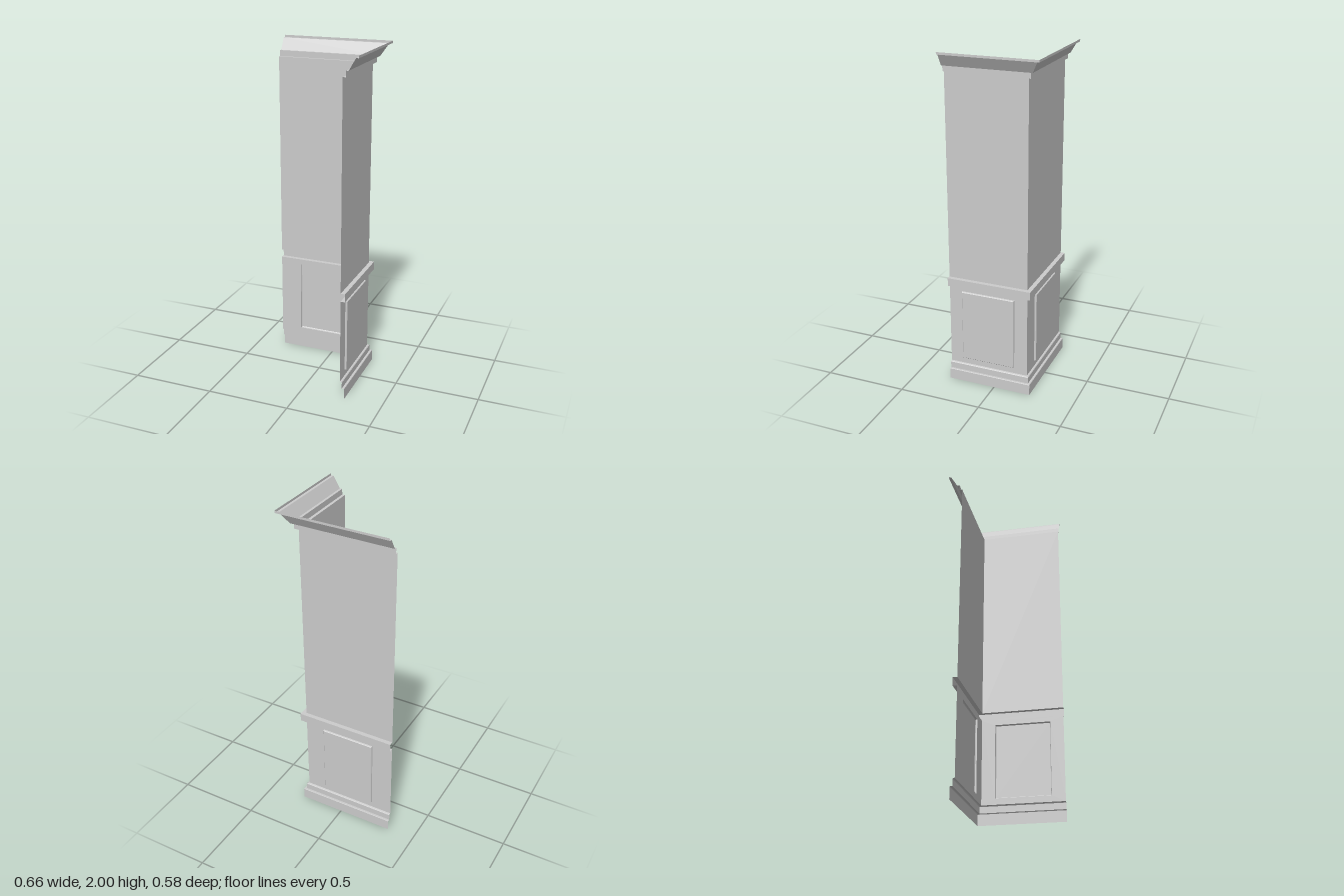
import * as THREE from 'three';

const material = new THREE.MeshStandardMaterial({ color: 0xcccccc, side: THREE.DoubleSide });

// Each wall run works in local axes: s along the wall from the corner, y up, d outward.
const CX = 0.245, CZ = -0.201;
const runs = [
  {
    name: 'back', length: 0.578, panel: [0.12, 0.45],
    place: (s, y, d) => [CX - s, y, CZ - d], outward: true,
  },
  {
    name: 'side', length: 0.489, panel: [0.08, 0.41],
    place: (s, y, d) => [CX + d, y, CZ + s], outward: false,
  },
];

// Flat-shaded mesh from quads given in local (s, y, d) corners
function quadMesh(name, run, quads) {
  const positions = [];
  for (const [a, b, c, d] of quads) {
    const order = run.outward ? [a, b, c, a, c, d] : [a, c, b, a, d, c];
    for (const p of order) positions.push(...run.place(...p));
  }
  const geometry = new THREE.BufferGeometry();
  geometry.setAttribute('position', new THREE.Float32BufferAttribute(positions, 3));
  geometry.computeVertexNormals();
  const mesh = new THREE.Mesh(geometry, material);
  mesh.name = name;
  return mesh;
}

// Profile of [d, y] points swept along a run, mitred at the corner
function moulding(name, run, profile) {
  const quads = [];
  for (let i = 0; i < profile.length - 1; i++) {
    const [d0, y0] = profile[i], [d1, y1] = profile[i + 1];
    quads.push([[-d0, y0, d0], [run.length, y0, d0], [run.length, y1, d1], [-d1, y1, d1]]);
  }
  return quadMesh(name, run, quads);
}

// Corners of a rectangle, counter-clockwise seen from outside
const rect = (s0, s1, y0, y1, d) => [[s0, y0, d], [s1, y0, d], [s1, y1, d], [s0, y1, d]];

// Quads joining consecutive rectangles
function bridge(rings) {
  const quads = [];
  for (let r = 0; r < rings.length - 1; r++) {
    for (let i = 0; i < 4; i++) {
      const j = (i + 1) % 4;
      quads.push([rings[r][i], rings[r][j], rings[r + 1][j], rings[r + 1][i]]);
    }
  }
  return quads;
}

const WALL_LOW = 0.111, RAIL_LOW = 0.622, RAIL_TOP = 0.671, CROWN_LOW = 1.886;
const PANEL_LOW = 0.148, PANEL_TOP = 0.59;

const profiles = {
  baseboard: [[0.026, 0], [0.026, 0.065], [0.024, 0.068], [0.012, 0.068],
    [0.012, 0.105], [0.009, 0.109], [0, WALL_LOW]],
  chairRail: [[0, RAIL_LOW], [0.026, RAIL_LOW], [0.026, RAIL_TOP], [0, RAIL_TOP]],
  upperWall: [[0, RAIL_TOP], [0, CROWN_LOW]],
  crown: [[0, CROWN_LOW], [0.017, CROWN_LOW], [0.017, 1.92], [0.032, 1.92],
    [0.072, 1.987], [0.087, 1.987], [0.087, 2]],
};

export function createModel() {
  const model = new THREE.Group();
  model.name = 'panelledWallCorner';
  for (const run of runs) {
    const group = new THREE.Group();
    group.name = run.name + 'Wall';
    for (const [name, profile] of Object.entries(profiles)) group.add(moulding(name, run, profile));

    // Lower wall, open behind the panel
    const [s0, s1] = run.panel;
    const outer = rect(0, run.length, WALL_LOW, RAIL_LOW, 0);
    const opening = rect(s0, s1, PANEL_LOW, PANEL_TOP, 0);
    group.add(quadMesh('lowerWall', run, bridge([outer, opening])));

    // Raised panel with a small bevel round its face
    const rings = [[0, 0], [0.002, 0.008], [0.005, 0.011]].map(([inset, d]) =>
      rect(s0 + inset, s1 - inset, PANEL_LOW + inset, PANEL_TOP - inset, d));
    group.add(quadMesh('raisedPanel', run, [...bridge(rings), rings[2]]));
    model.add(group);
  }
  return model;
}
